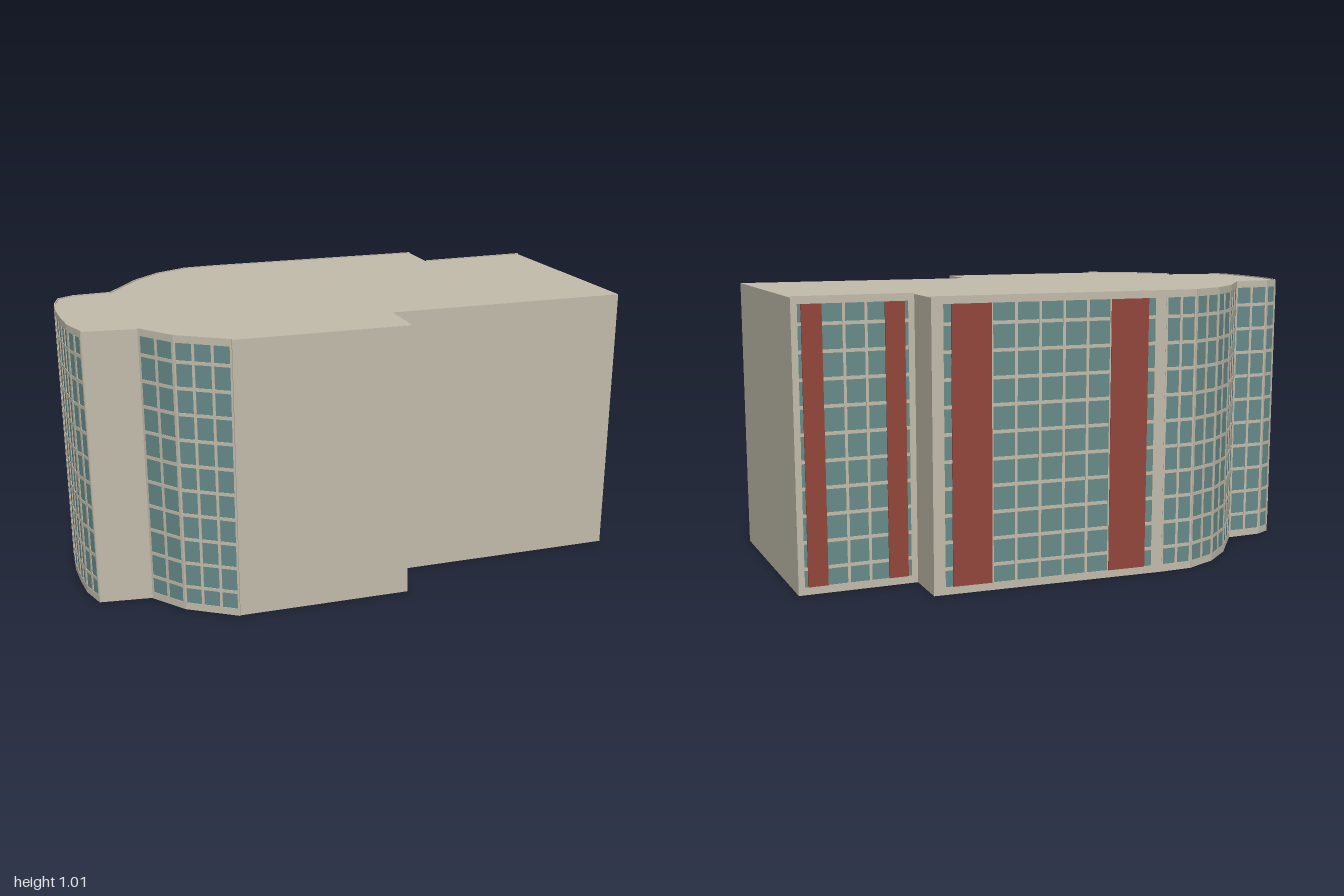
import * as THREE from 'three';

const mat = (name, color, side = THREE.FrontSide) => {
  const m = new THREE.MeshStandardMaterial({ color, side });
  m.name = name;
  return m;
};

const HEIGHT = 1.01;
const GLASS_BOTTOM = 0.027, GLASS_TOP = 0.988;

// Footprint corners: x, z, then the glazing of the wall that starts there:
// 0 = plain wall, n = number of window columns, 'long' / 'short' = flat facade with red panels
const plan = [
  [0.05, -1.0, 0], [0.74, -0.705, 0], [0.325, 0.08, 0], [0.485, 0.155, 0],
  [0.19, 0.705, 3], [0.015, 0.81, 2], [-0.133, 0.842, 0],
  [-0.24, 0.997, 2], [-0.34, 0.983, 2], [-0.425, 0.952, 2], [-0.525, 0.908, 2],
  [-0.608, 0.86, 2], [-0.665, 0.808, 1], [-0.667, 0.745, 2], [-0.61, 0.618, 3],
  [-0.706, 0.43, 2], [-0.74, 0.3, 2], [-0.735, 0.17, 2],
  [-0.685, 0.06, 'long'], [-0.288, -0.69, 0], [-0.133, -0.62, 'short'],
];

export function createModel() {
  const stone = mat('stone', 0xc2bcab, THREE.DoubleSide);
  const glass = mat('glass', 0x668b89);
  const red = mat('red cladding', 0x94463b);
  const model = new THREE.Group();
  model.name = 'building';

  // Flat roof
  const shape = new THREE.Shape(plan.map(([x, z]) => new THREE.Vector2(x, -z)));
  const roof = new THREE.Mesh(new THREE.ShapeGeometry(shape).rotateX(-Math.PI / 2), stone);
  roof.name = 'roof';
  roof.position.y = HEIGHT;
  model.add(roof);

  plan.forEach(([ax, az, glazing], i) => {
    const [bx, bz] = plan[(i + 1) % plan.length];
    const length = Math.hypot(ax - bx, az - bz);

    // Each wall has its own frame: x along the wall, z outwards
    const side = new THREE.Group();
    side.name = glazing ? 'glazedSide' : 'plainSide';
    side.position.set(bx, 0, bz);
    side.rotation.y = Math.atan2(bz - az, ax - bx);
    model.add(side);

    const wall = new THREE.Mesh(new THREE.PlaneGeometry(length, HEIGHT), stone);
    wall.name = 'wall';
    wall.position.set(length / 2, HEIGHT / 2, 0);
    side.add(wall);
    if (!glazing) return;

    // Thin plate between two corners, standing proud of the wall
    const plate = (name, material, x0, x1, y0, y1, depth) => {
      const mesh = new THREE.Mesh(new THREE.BoxGeometry(x1 - x0, y1 - y0, depth), material);
      mesh.name = name;
      mesh.position.set((x0 + x1) / 2, (y0 + y1) / 2, depth / 2);
      side.add(mesh);
    };

    const flat = typeof glazing === 'string';
    const margin = flat ? length * 0.045 : 0.004;
    const x0 = margin, x1 = length - margin;
    plate('glazing', glass, x0, x1, GLASS_BOTTOM, GLASS_TOP, 0.002);
    plate('parapet', stone, 0, length, GLASS_TOP, 1.014, 0.004);
    plate('plinth', stone, 0, length, 0, GLASS_BOTTOM, 0.004);

    // Floor bands
    for (let f = 0; f < 10; f++) {
      const y = 0.091 + f * 0.0923;
      plate('floorBand', stone, x0, x1, y - 0.006, y + 0.006, 0.004);
    }

    // Upright mullions, including the ends
    const uprights = [];
    if (glazing === 'long') for (let k = 0; k <= 5; k++) uprights.push(length * (0.245 + k * 0.102));
    else if (glazing === 'short') uprights.push(length * 0.42, length * 0.6);
    else for (let k = 1; k < glazing; k++) uprights.push((length * k) / glazing);
    for (const u of uprights) plate('mullion', stone, u - 0.005, u + 0.005, GLASS_BOTTOM, GLASS_TOP, 0.005);
    plate('endMullion', stone, 0, x0 + 0.003, GLASS_BOTTOM, GLASS_TOP, 0.005);
    plate('endMullion', stone, x1 - 0.003, length, GLASS_BOTTOM, GLASS_TOP, 0.005);

    // Red full-height panels near both ends of the flat facades
    if (flat) {
      for (const [s, e] of [[0.08, 0.245], [0.755, 0.92]]) {
        plate('redPanel', red, length * s, length * e, GLASS_BOTTOM, GLASS_TOP, 0.007);
      }
    }
  });

  return model;
}
